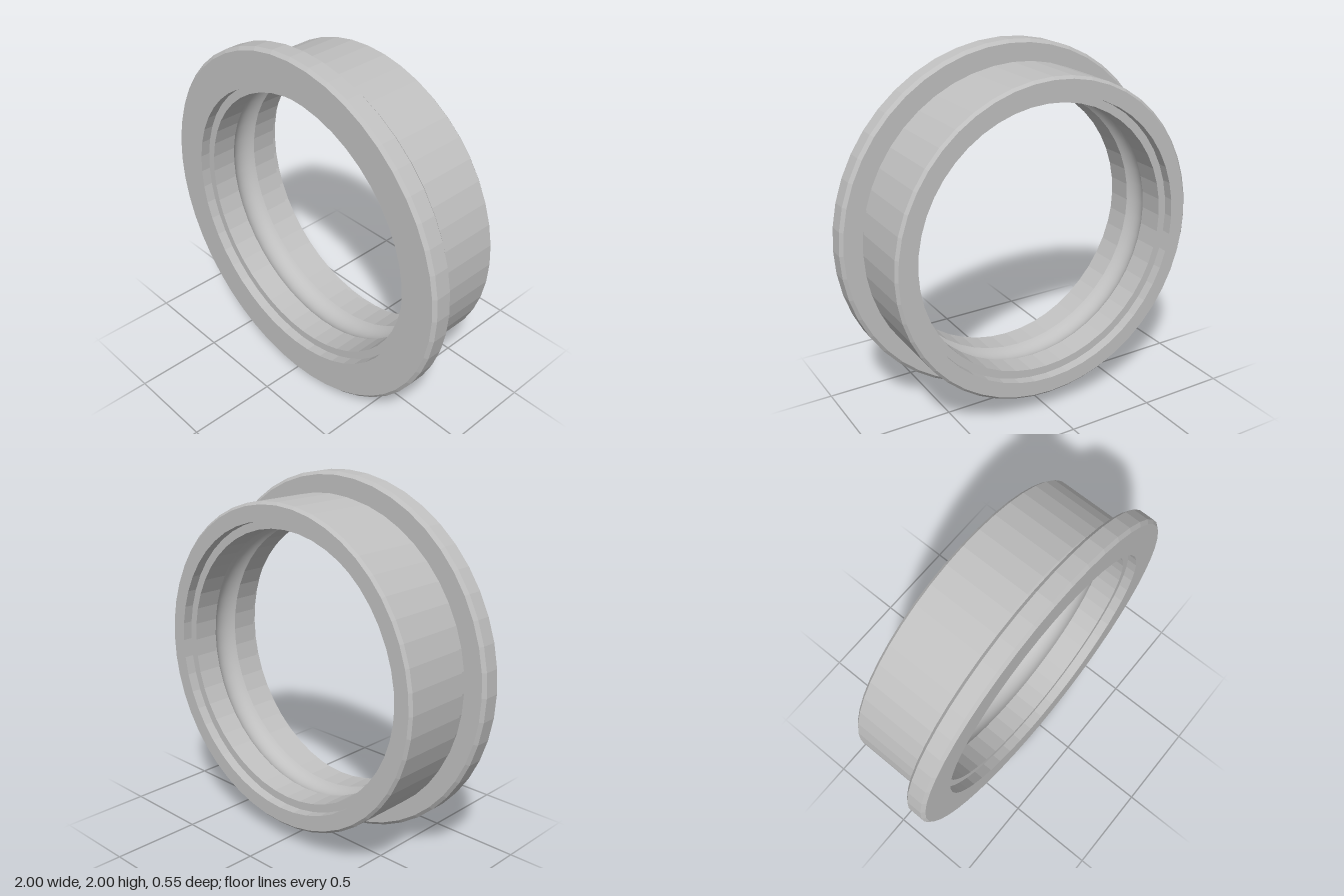
import * as THREE from 'three';

const SEGMENTS = 48;

// Revolve [radius, z] points about the z axis; outer surfaces run towards +z
function revolve(name, points, material, faceted) {
  let geometry = new THREE.LatheGeometry(points.map(([r, z]) => new THREE.Vector2(r, z)), SEGMENTS);
  if (faceted) {
    geometry = geometry.toNonIndexed();
    geometry.computeVertexNormals();
  }
  geometry.rotateX(Math.PI / 2);
  const mesh = new THREE.Mesh(geometry, material);
  mesh.name = name;
  return mesh;
}

export function createModel() {
  const steel = new THREE.MeshStandardMaterial({ color: 0xc0c0c0 });
  steel.name = 'steel';

  const half = 0.275;       // half of the total width
  const bore = 0.745;       // shoulder radius
  const recess = 0.79;      // counterbore radius at both ends
  const step = 0.22;        // z of the counterbore floors
  const raceHalf = 0.075;   // half width of the ball groove
  const raceDepth = 0.035;

  const ring = new THREE.Group();
  ring.name = 'flangedRing';

  // Rear face, chamfered body and relief groove
  ring.add(revolve('body', [
    [recess, -half], [0.875, -half], [0.89, -0.26],
    [0.89, 0.12], [0.877, 0.135], [0.877, 0.155],
  ], steel, true));

  // Chamfered flange with the front face
  ring.add(revolve('flange', [
    [0.877, 0.155], [0.982, 0.155], [1, 0.172],
    [1, 0.258], [0.982, half], [recess, half],
  ], steel, true));

  // Counterbores and shoulders on either side of the groove
  ring.add(revolve('frontShoulder', [
    [recess, half], [recess, step], [bore, step], [bore, raceHalf],
  ], steel, true));
  ring.add(revolve('rearShoulder', [
    [bore, -raceHalf], [bore, -step], [recess, -step], [recess, -half],
  ], steel, true));

  // Smooth circular-arc ball groove
  const arcRadius = (raceHalf ** 2 + raceDepth ** 2) / (2 * raceDepth);
  const arcCentre = bore + raceDepth - arcRadius;
  const sweep = Math.asin(raceHalf / arcRadius);
  const arc = [];
  for (let i = 0; i <= 12; i++) {
    const a = sweep * (1 - i / 6);
    arc.push([arcCentre + arcRadius * Math.cos(a), arcRadius * Math.sin(a)]);
  }
  ring.add(revolve('ballGroove', arc, steel, false));

  ring.position.y = 1;
  const model = new THREE.Group();
  model.name = 'bearingOuterRing';
  model.add(ring);
  return model;
}
